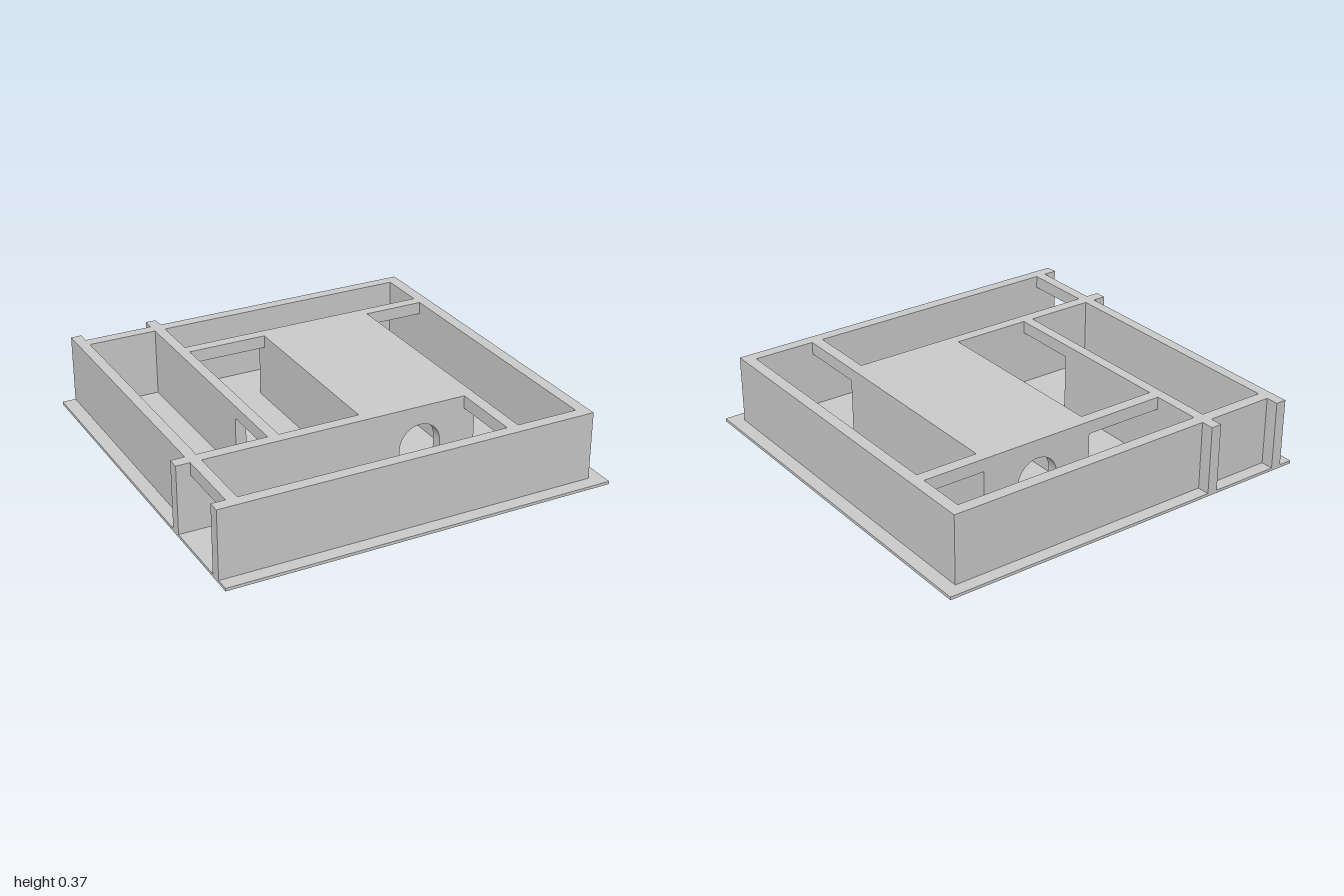
import * as THREE from 'three';

const FLOOR = 0.015, LINTEL = 0.3, TOP = 0.365;
const material = new THREE.MeshStandardMaterial({ color: 0xcccccc, flatShading: true });

export function createModel() {
  const model = new THREE.Group();
  model.name = 'floorPlanModel';

  const add = (name, geometry) => {
    const mesh = new THREE.Mesh(geometry, material);
    mesh.name = name;
    model.add(mesh);
    return mesh;
  };
  const box = (name, x0, x1, z0, z1, y0 = FLOOR, y1 = LINTEL) =>
    add(name, new THREE.BoxGeometry(x1 - x0, y1 - y0, z1 - z0))
      .position.set((x0 + x1) / 2, (y0 + y1) / 2, (z0 + z1) / 2);

  // Floor slab
  box('floorSlab', -1, 1, -1, 1, 0, FLOOR);

  // Outer walls
  box('frontWall', -1, 0.93, 0.87, 0.93);
  box('leftWall', 0.87, 0.93, -0.935, 0.87);
  box('backWall', -0.93, 0.87, -0.935, -0.875);
  box('rightWall', -0.93, -0.875, -0.875, 0.44);

  // Wall ends that run on to the back edge
  for (const x of [-0.93, -0.52]) box('backWallEnd', x, x + 0.055, -1, -0.935);

  // Inner walls; the gaps between them are doorways
  box('crossWall', -1, -0.05, 0.44, 0.5);
  box('partitionWall', -0.52, -0.465, -0.875, 0.09);
  for (const x of [-0.05, 0.49]) box('hallSideWall', x, x + 0.06, -0.56, 0.44);

  // Hall end walls with an arched doorway
  const archWall = new THREE.Shape();
  archWall.moveTo(-0.05, FLOOR);
  archWall.lineTo(0.14, FLOOR);
  archWall.lineTo(0.14, 0.16);
  archWall.absarc(0.25, 0.16, 0.11, Math.PI, 0, true);
  archWall.lineTo(0.36, FLOOR);
  archWall.lineTo(0.55, FLOOR);
  archWall.lineTo(0.55, LINTEL);
  archWall.lineTo(-0.05, LINTEL);
  archWall.closePath();
  for (const z of [-0.62, 0.44]) {
    add('archedHallWall', new THREE.ExtrudeGeometry(archWall,
      { depth: 0.06, bevelEnabled: false, curveSegments: 10 })).position.z = z;
  }

  // Upper layer: wall tops, door lintels and hall roof, open above the rooms
  const plan = points => points.map(([x, z]) => new THREE.Vector2(x, -z));
  const upper = new THREE.Shape(plan([
    [-1, 0.93], [0.93, 0.93], [0.93, -0.935], [-0.465, -0.935], [-0.465, -1],
    [-0.52, -1], [-0.52, -0.935], [-0.875, -0.935], [-0.875, -1], [-0.93, -1],
    [-0.93, 0.44], [-1, 0.44], [-1, 0.5], [-0.93, 0.5], [-0.93, 0.87], [-1, 0.87],
  ]));
  const rooms = [
    [-0.875, -0.52, -0.875, 0.44],
    [-0.465, 0.87, -0.875, -0.62],
    [-0.465, -0.05, -0.56, 0.44],
    [0.55, 0.87, -0.56, 0.87],
    [-0.875, 0.49, 0.5, 0.87],
  ];
  for (const [x0, x1, z0, z1] of rooms) {
    upper.holes.push(new THREE.Path(plan([[x0, z0], [x1, z0], [x1, z1], [x0, z1]])));
  }
  const upperGeometry = new THREE.ExtrudeGeometry(upper, { depth: TOP - LINTEL, bevelEnabled: false });
  upperGeometry.rotateX(-Math.PI / 2);
  add('wallTopsAndHallRoof', upperGeometry).position.y = LINTEL;

  return model;
}
